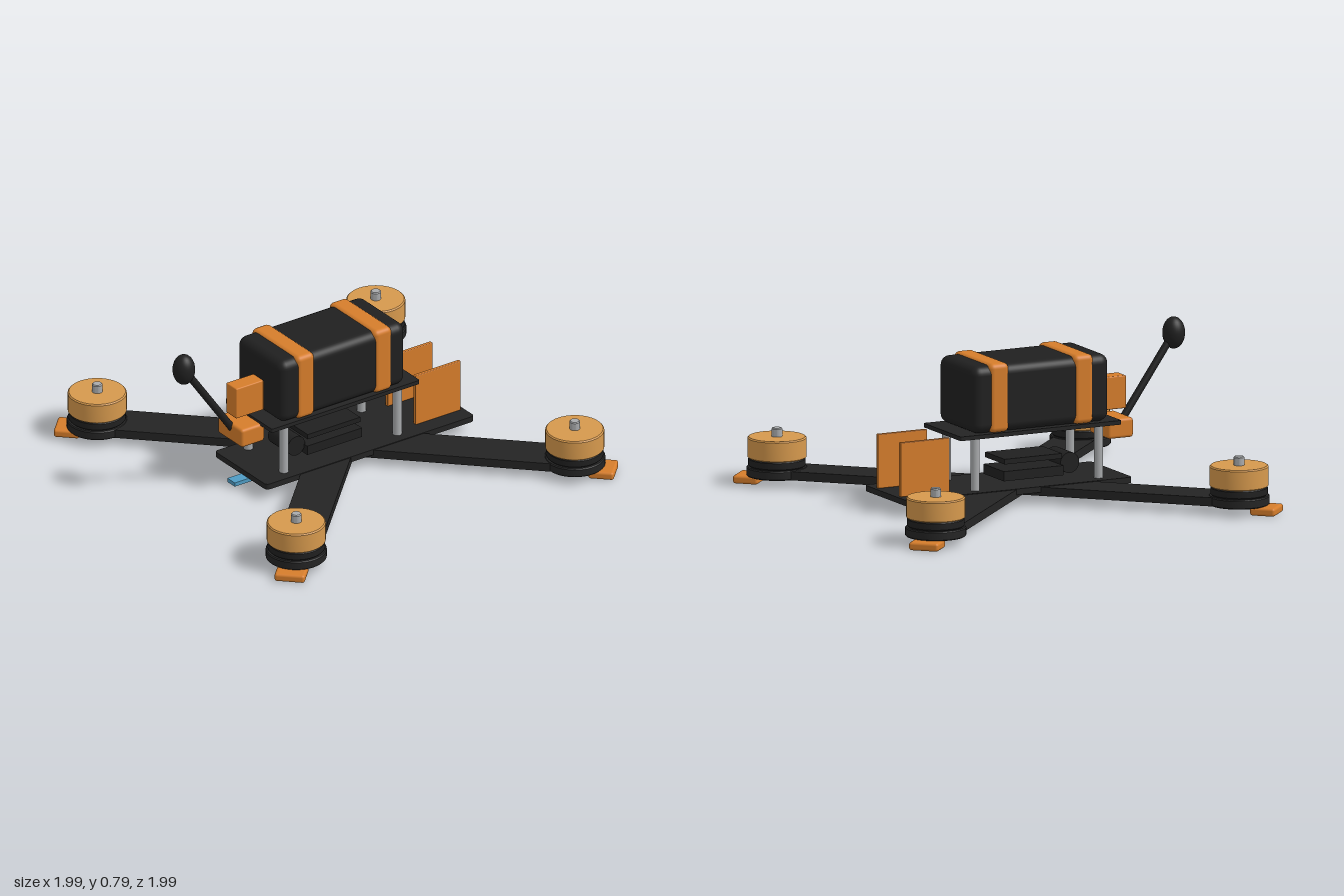
import * as THREE from 'three';
import { RoundedBoxGeometry } from 'three/addons/geometries/RoundedBoxGeometry.js';
import { toCreasedNormals } from 'three/addons/utils/BufferGeometryUtils.js';

const mat = (name, color) => {
  const m = new THREE.MeshStandardMaterial({ color });
  m.name = name;
  return m;
};

export function createModel() {
  const carbon = mat('carbon black', 0x242424);
  const rubber = mat('battery black', 0x202020);
  const orange = mat('printed orange', 0xd67d2b);
  const brass = mat('motor brass', 0xd6994d);
  const steel = mat('steel', 0xa9abad);
  const blue = mat('light strip blue', 0x4f9cc4);

  const model = new THREE.Group();
  model.name = 'quadcopter';

  const add = (parent, name, geometry, material, x = 0, y = 0, z = 0) => {
    const mesh = new THREE.Mesh(geometry, material);
    mesh.name = name;
    mesh.position.set(x, y, z);
    parent.add(mesh);
    return mesh;
  };

  // Box given by its extents, centred on z; r rounds the edges
  const box = (name, material, x0, x1, y0, y1, depth, r = 0, z = 0) => {
    const w = x1 - x0, h = y1 - y0;
    const g = r ? new RoundedBoxGeometry(w, h, depth, 4, r) : new THREE.BoxGeometry(w, h, depth);
    return add(model, name, g, material, (x0 + x1) / 2, (y0 + y1) / 2, z);
  };

  // Flat plate with rounded corners, lying in xz
  const plate = (name, x0, x1, y0, y1, half, r) => {
    const s = new THREE.Shape();
    s.moveTo(x0 + r, -half);
    s.absarc(x1 - r, -half + r, r, -Math.PI / 2, 0);
    s.absarc(x1 - r, half - r, r, 0, Math.PI / 2);
    s.absarc(x0 + r, half - r, r, Math.PI / 2, Math.PI);
    s.absarc(x0 + r, -half + r, r, Math.PI, Math.PI * 1.5);
    const g = new THREE.ExtrudeGeometry(s, { depth: y1 - y0, bevelEnabled: false, curveSegments: 5 });
    g.rotateX(-Math.PI / 2);
    return add(model, name, g, carbon, 0, y0, 0);
  };

  // Turned solid with crisp edges
  const turned = (points) => toCreasedNormals(
    new THREE.LatheGeometry(points.map(([r, y]) => new THREE.Vector2(r, y)), 40), 0.6);

  // Arm with motor and foot, built along +x and turned to each corner
  const reach = 0.81 * Math.SQRT2;
  const armGeometry = new THREE.BoxGeometry(reach, 0.042, 0.207);
  const padGeometry = turned([[0, 0.04], [0.14, 0.04], [0.145, 0.045], [0.145, 0.08], [0.14, 0.085], [0, 0.085]]);
  const baseGeometry = turned([[0, 0.084], [0.128, 0.084], [0.136, 0.092], [0.136, 0.122], [0.13, 0.129], [0, 0.129]]);
  const bellGeometry = turned([[0, 0.128], [0.136, 0.128], [0.14, 0.132], [0.14, 0.222], [0.134, 0.228], [0, 0.228]]);
  const shaftGeometry = turned([[0, 0.22], [0.025, 0.22], [0.025, 0.265], [0.021, 0.27], [0, 0.27]]);
  const footGeometry = new RoundedBoxGeometry(0.124, 0.04, 0.146, 3, 0.013);
  for (let i = 0; i < 4; i++) {
    const arm = new THREE.Group();
    arm.name = 'armAssembly';
    arm.rotation.y = Math.PI / 4 + i * Math.PI / 2;
    add(arm, 'arm', armGeometry, carbon, reach / 2, 0.062, 0);
    add(arm, 'armEnd', padGeometry, carbon, reach);
    add(arm, 'motorBase', baseGeometry, rubber, reach);
    add(arm, 'motorBell', bellGeometry, brass, reach);
    add(arm, 'motorShaft', shaftGeometry, steel, reach);
    add(arm, 'foot', footGeometry, orange, 1.282, 0.021, 0);
    model.add(arm);
  }

  // Frame plates and standoffs
  plate('bottomPlate', -0.555, 0.655, 0.058, 0.086, 0.212, 0.02);
  plate('topPlate', -0.508, 0.352, 0.34, 0.36, 0.19, 0.008);
  const standoff = new THREE.CylinderGeometry(0.022, 0.022, 0.256, 20);
  for (const x of [-0.407, 0.252]) {
    for (const z of [-0.145, 0.145]) add(model, 'standoff', standoff, steel, x, 0.213, z);
  }

  // Side plates for the camera
  for (const z of [-0.115, 0.115]) box('cameraPlate', orange, 0.375, 0.638, 0.085, 0.347, 0.02, 0.004, z);

  // Battery and straps
  box('battery', rubber, -0.45, 0.28, 0.36, 0.685, 0.372, 0.045);
  for (const x of [-0.36, 0.09]) box('batteryStrap', orange, x, x + 0.104, 0.361, 0.694, 0.384, 0.025);

  // Electronics stack and capacitor
  box('powerBoard', rubber, -0.242, 0.077, 0.105, 0.152, 0.21);
  box('controlBoard', rubber, -0.236, 0.07, 0.185, 0.21, 0.2);
  const capacitor = new THREE.CylinderGeometry(0.05, 0.05, 0.16, 28);
  add(model, 'capacitor', capacitor, rubber, -0.288, 0.157, 0).rotation.x = Math.PI / 2;

  // Rear mounts
  box('antennaMount', orange, -0.62, -0.484, 0.253, 0.348, 0.2, 0.015);
  box('receiverMount', orange, -0.61, -0.45, 0.383, 0.542, 0.084, 0.006);

  // Antenna rod and tip
  const from = new THREE.Vector3(-0.59, 0.295, 0), to = new THREE.Vector3(-0.885, 0.715, 0);
  const rod = new THREE.TubeGeometry(new THREE.LineCurve3(from, to), 1, 0.018, 14);
  add(model, 'antennaRod', rod, rubber);
  const tip = add(model, 'antennaTip', new THREE.SphereGeometry(1, 28, 20), rubber, to.x, to.y, 0);
  tip.scale.set(0.054, 0.077, 0.054);

  // Light strip under the rear
  box('lightStrip', blue, -0.61, -0.307, 0.016, 0.036, 0.06);

  return model;
}
